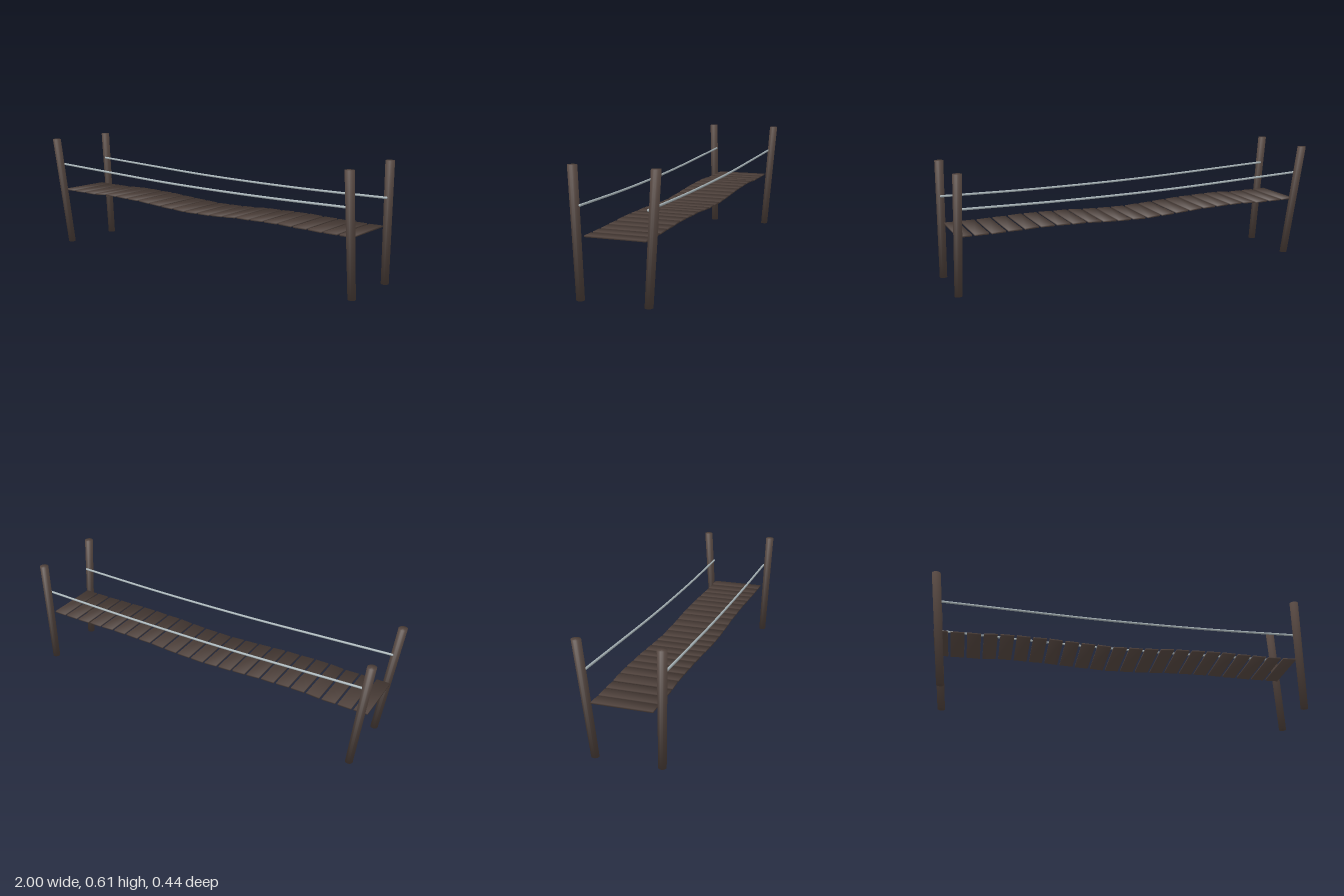
import * as THREE from 'three';

// Blend the normals of corners that share a position, for soft worn edges
function soften(g) {
  const p = g.attributes.position, n = g.attributes.normal;
  const sums = new Map();
  const key = (i) => [p.getX(i), p.getY(i), p.getZ(i)].map((v) => Math.round(v * 1e4)).join();
  for (let i = 0; i < p.count; i++) {
    const k = key(i);
    if (!sums.has(k)) sums.set(k, new THREE.Vector3());
    sums.get(k).add(new THREE.Vector3().fromBufferAttribute(n, i));
  }
  for (let i = 0; i < p.count; i++) {
    const s = sums.get(key(i)).clone().normalize();
    n.setXYZ(i, s.x, s.y, s.z);
  }
  return g;
}

export function createModel() {
  const model = new THREE.Group();
  const wood = new THREE.MeshStandardMaterial({ color: 0x52443e });
  wood.name = 'darkWood';
  const rope = new THREE.MeshStandardMaterial({ color: 0xa8b4b8 });
  rope.name = 'ropeGrey';

  function add(name, geometry, material) {
    const mesh = new THREE.Mesh(geometry, material);
    mesh.name = name;
    model.add(mesh);
    return mesh;
  }

  // Leaning posts, sheared so both ends stay level
  const H = 0.609;
  function post(name, baseX, topX, side) {
    const g = soften(new THREE.CylinderGeometry(0.023, 0.0195, H, 16));
    g.translate(0, H / 2, 0);
    const p = g.attributes.position;
    for (let i = 0; i < p.count; i++) {
      const t = p.getY(i) / H;
      p.setX(i, p.getX(i) + baseX + (topX - baseX) * t);
      p.setZ(i, p.getZ(i) + side * (0.166 + 0.033 * t));
    }
    add(name, g, wood);
  }

  // Hand ropes, sagging between the posts, with rounded ends
  const ropeRadius = 0.0062;
  function handRope(name, side) {
    const pts = [
      [-0.95, 0.461, 0.172], [-0.55, 0.445, 0.17], [-0.2, 0.432, 0.168],
      [0.1, 0.426, 0.166], [0.5, 0.424, 0.164], [0.97, 0.43, 0.163],
    ].map(([x, y, z]) => new THREE.Vector3(x, y, z * side));
    const curve = new THREE.CatmullRomCurve3(pts);
    add(name, new THREE.TubeGeometry(curve, 24, ropeRadius, 8), rope);
    for (const end of [pts[0], pts[pts.length - 1]]) {
      add(name + 'End', new THREE.SphereGeometry(ropeRadius, 10, 8), rope).position.copy(end);
    }
  }

  for (const side of [1, -1]) {
    const end = side > 0 ? 'Front' : 'Back';
    post('rightPost' + end, -0.906, -0.977, side);
    post('leftPost' + end, 0.979, 0.965, side);
    handRope('handRope' + end, side);
  }

  // Deck planks follow a gently waving line, each tipped a little
  const deck = new THREE.CatmullRomCurve3([
    [-0.93, 0.304], [-0.75, 0.303], [-0.6, 0.308], [-0.35, 0.301], [-0.15, 0.289], [0, 0.284],
    [0.15, 0.287], [0.3, 0.294], [0.55, 0.297], [0.75, 0.292], [0.93, 0.291],
  ].map(([x, y]) => new THREE.Vector3(x, y, 0)));
  const count = 23;
  const plankShape = soften(new THREE.BoxGeometry(0.071, 0.008, 0.296));
  for (let i = 0; i < count; i++) {
    const u = i / (count - 1);
    const dir = deck.getTangentAt(u);
    const plank = add('plank', plankShape, wood);
    plank.position.copy(deck.getPointAt(u));
    plank.rotation.z = Math.atan2(dir.y, dir.x) + 0.03 * Math.sin(i * 2.4);
  }
  return model;
}
